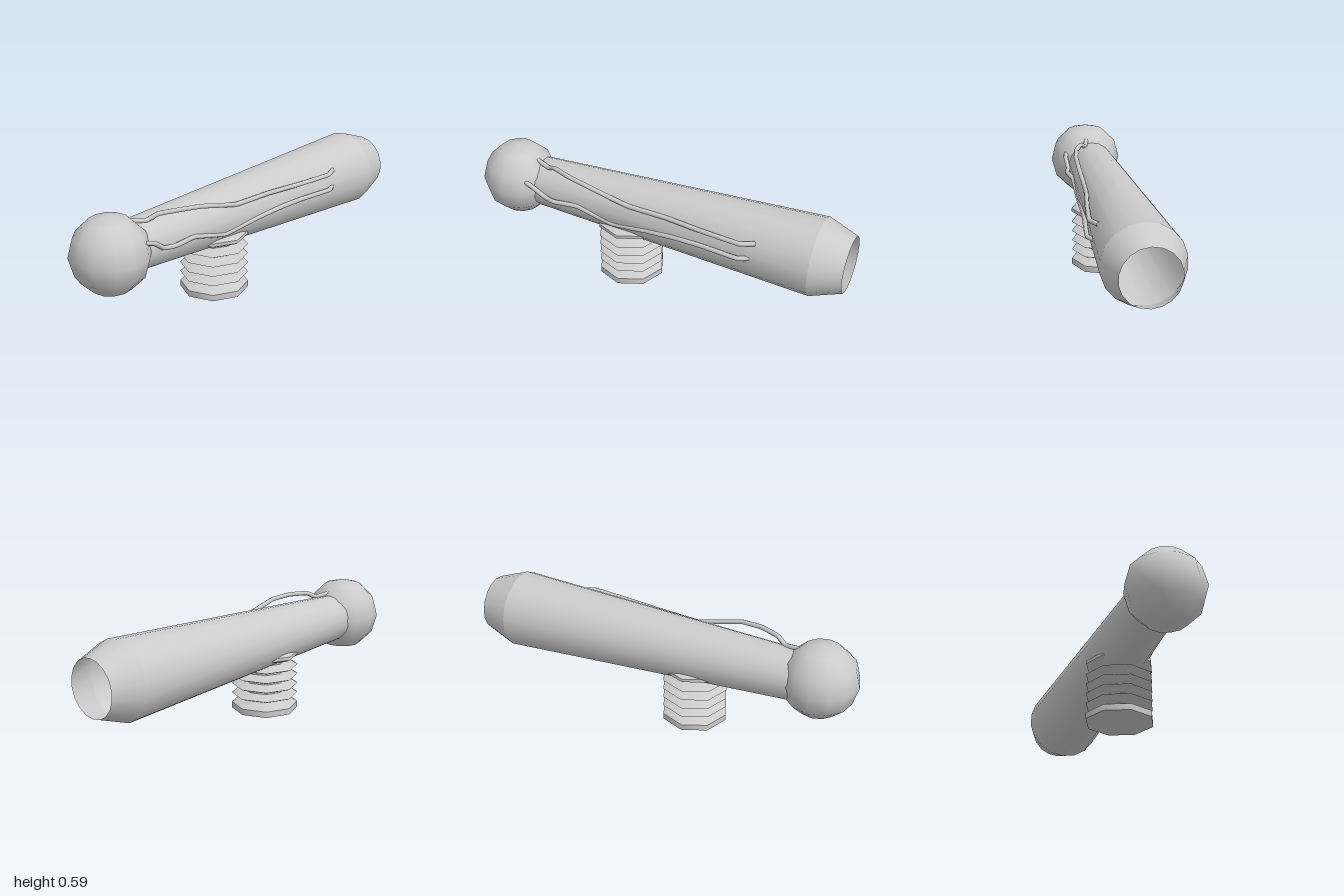
import * as THREE from 'three';
import { toCreasedNormals } from 'three/addons/utils/BufferGeometryUtils.js';

const grey = new THREE.MeshStandardMaterial({ color: 0xcccccc });
const greyOpen = new THREE.MeshStandardMaterial({ color: 0xcccccc, side: THREE.DoubleSide });

function add(group, name, geometry, material = grey) {
  const mesh = new THREE.Mesh(geometry, material);
  mesh.name = name;
  group.add(mesh);
  return mesh;
}

const points = (list) => list.map(([r, y]) => new THREE.Vector2(r, y));

// Lathe whose axis runs from front (+z) to back (-z)
const barrel = (list) => new THREE.LatheGeometry(points(list), 18).rotateX(-Math.PI / 2);

// Thin cable along a bent path, pushed into the body at both ends
function cable(path) {
  const curve = new THREE.CatmullRomCurve3(path.map((p) => new THREE.Vector3(...p)), false, 'catmullrom', 0.12);
  return new THREE.TubeGeometry(curve, 70, 0.012, 8);
}

export function createModel() {
  const group = new THREE.Group();

  // Ball at the front
  add(group, 'ball', new THREE.SphereGeometry(0.195, 12, 6)).position.set(0.003, 0.391, 0.805);

  // Tapered hollow arm with a narrowing sleeve at the open back end
  const arm = new THREE.Group();
  arm.name = 'arm';
  arm.position.set(-0.01, 0.388, 0);
  add(arm, 'armTube', barrel([[0.124, -0.75], [0.127, -0.67], [0.198, 0.845]]), greyOpen);
  add(arm, 'armEnd', barrel([[0.198, 0.845], [0.142, 1]]), greyOpen);
  group.add(arm);

  // Octagonal bellows foot
  const profile = [[0, 0], [0.173, 0], [0.173, 0.032], [0.155, 0.041], [0.11, 0.053], [0.105, 0.062]];
  for (let i = 0; i < 4; i++) {
    const y = 0.084 + i * 0.0515;
    profile.push([0.158, y - 0.007], [0.173, y], [0.158, y + 0.007], [0.108, y + 0.021], [0.108, y + 0.029]);
  }
  profile.push([0.155, 0.285], [0.172, 0.295], [0.172, 0.312], [0.155, 0.322], [0, 0.322]);
  const bellows = toCreasedNormals(new THREE.LatheGeometry(points(profile), 8), 0.85);
  add(group, 'bellows', bellows).position.z = 0.155;

  // Two cables along the left side
  add(group, 'upperCable', cable([
    [0.01, 0.527, 0.7], [0.035, 0.512, 0.61], [0.06, 0.538, 0.56], [0.1, 0.541, 0.46],
    [0.12, 0.532, 0.35], [0.12, 0.5, 0.22], [0.118, 0.474, 0.11], [0.132, 0.479, -0.1],
    [0.158, 0.48, -0.3], [0.177, 0.483, -0.5], [0.145, 0.484, -0.57],
  ]));
  add(group, 'lowerCable', cable([
    [0.125, 0.455, 0.71], [0.137, 0.44, 0.65], [0.13, 0.395, 0.59], [0.147, 0.394, 0.53],
    [0.13, 0.393, 0.4], [0.13, 0.345, 0.2], [0.145, 0.374, 0], [0.155, 0.39, -0.15],
    [0.169, 0.4, -0.3], [0.188, 0.402, -0.5], [0.15, 0.403, -0.57],
  ]));

  return group;
}
